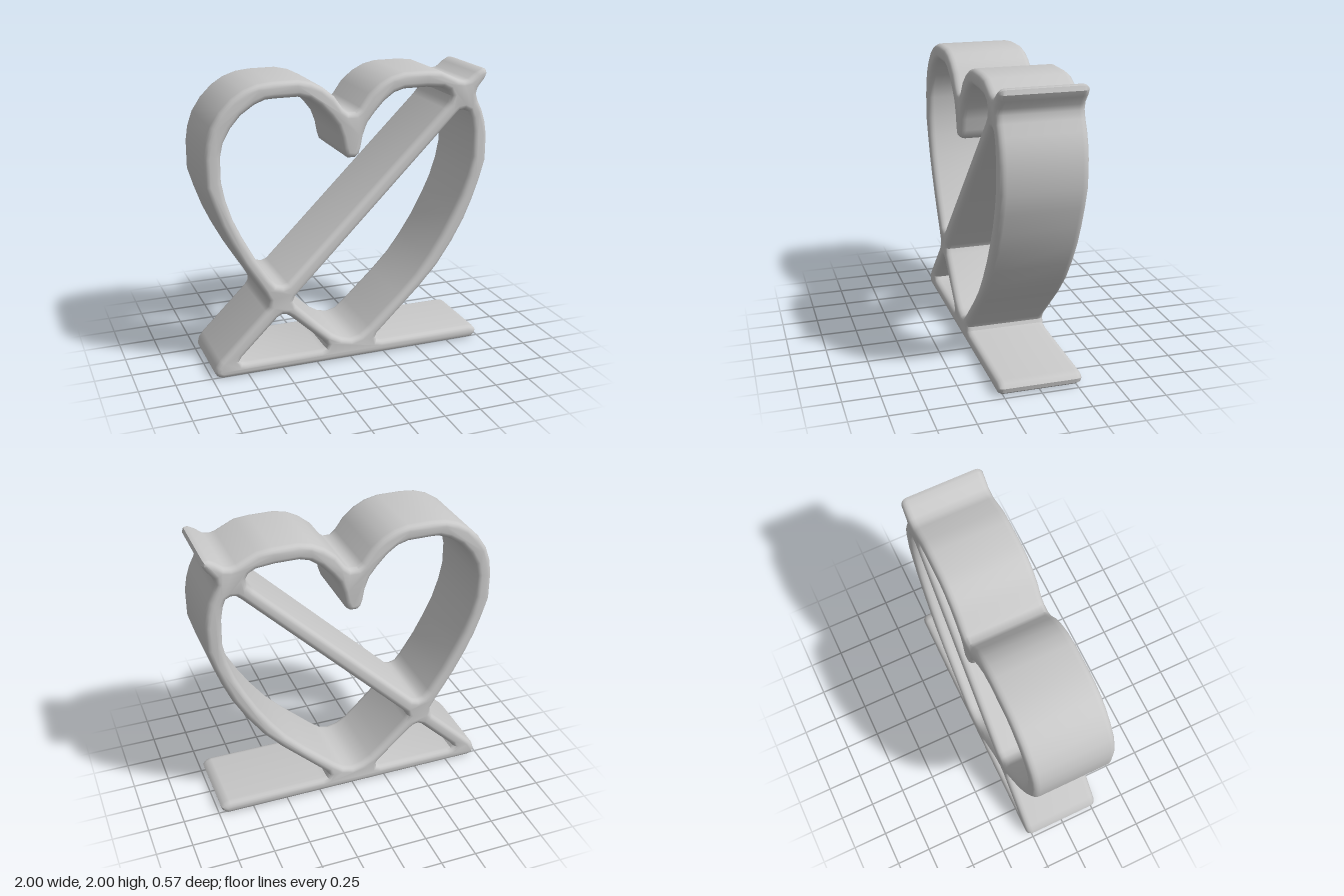
import * as THREE from 'three';
import { toCreasedNormals } from 'three/addons/utils/BufferGeometryUtils.js';

const DEPTH = 0.57, BEVEL = 0.035, ROUND = 0.045;

// Reflects a run of points across x = 0 and reverses it, so it continues the first run.
const mirror = (pts) => pts.map(([x, y]) => [-x, y]).reverse();
const toVectors = (pts) => pts.map(([x, y]) => new THREE.Vector2(x, y));

export function createModel() {
  const group = new THREE.Group();
  const grey = new THREE.MeshStandardMaterial({ color: 0xc8c8c8 });
  grey.name = 'plain grey';

  // Left lobe of the heart, outside and inside, running from the flank to the cleft
  const outerLobe = [[-1, 1.35], [-1, 1.54], [-0.985, 1.64], [-0.95, 1.74], [-0.89, 1.83], [-0.81, 1.91],
    [-0.73, 1.96], [-0.64, 1.99], [-0.54, 2], [-0.37, 2], [-0.28, 1.98], [-0.2, 1.94], [-0.12, 1.875],
    [-0.06, 1.79], [-0.025, 1.762]];
  const innerLobe = [[-0.89, 1.38], [-0.89, 1.54], [-0.87, 1.63], [-0.82, 1.72], [-0.75, 1.8], [-0.66, 1.86],
    [-0.59, 1.887], [-0.53, 1.89], [-0.37, 1.89], [-0.3, 1.87], [-0.23, 1.82], [-0.16, 1.745], [-0.11, 1.68],
    [-0.08, 1.6], [-0.065, 1.52], [-0.05, 1.475], [-0.025, 1.455]];

  const outline = [
    // pointed left end of the foot and the arrow tail
    [-0.93, 0], [-0.965, 0.015], [-0.982, 0.045], [-0.97, 0.09], [-0.94, 0.13],
    [-0.62, 0.445], [-0.6, 0.475], [-0.6, 0.52], [-0.63, 0.575],
    // left flank, both lobes
    [-0.7, 0.685], [-0.77, 0.8], [-0.85, 0.95], [-0.91, 1.08], [-0.96, 1.22],
    ...outerLobe, ...mirror(outerLobe).slice(0, 8),
    // arrow tip
    [0.77, 1.928], [0.81, 1.918], [0.85, 1.925], [0.9, 1.965], [0.945, 1.99], [0.975, 1.985],
    [0.985, 1.955], [0.965, 1.915], [0.92, 1.86], [0.91, 1.82], [0.925, 1.77],
    [0.96, 1.7], [0.985, 1.62], [1, 1.53], [1, 1.35],
    // right flank
    [0.96, 1.21], [0.91, 1.07], [0.85, 0.93], [0.76, 0.77], [0.65, 0.61], [0.52, 0.465],
    [0.2, 0.155], [0.185, 0.125], [0.195, 0.1], [0.23, 0.092],
    // free right end of the foot
    [0.92, 0.092], [0.96, 0.082], [0.982, 0.055], [0.975, 0.025], [0.94, 0],
  ].reverse(); // counter-clockwise, so the extrusion turns the opening walls the right way

  const upperOpening = [
    [-0.455, 0.625], [-0.495, 0.612], [-0.54, 0.625], [-0.58, 0.675], [-0.68, 0.83], [-0.76, 0.98],
    [-0.82, 1.11], [-0.865, 1.25],
    ...innerLobe, ...mirror(innerLobe).slice(0, 10),
    [0.65, 1.878], [0.695, 1.855], [0.715, 1.82], [0.705, 1.775], [0.67, 1.735],
  ];
  const lowerOpening = [
    [-0.405, 0.525], [0.76, 1.69], [0.785, 1.71], [0.82, 1.715], [0.85, 1.7], [0.87, 1.65], [0.885, 1.56],
    [0.89, 1.38], [0.865, 1.25], [0.82, 1.11], [0.76, 0.98], [0.68, 0.83], [0.59, 0.69], [0.49, 0.555],
    [0.36, 0.42], [0.22, 0.29], [0.14, 0.215], [0.07, 0.158], [0, 0.14], [-0.07, 0.158], [-0.14, 0.2],
    [-0.23, 0.285], [-0.4, 0.455], [-0.42, 0.49],
  ];
  const tailOpening = [
    [-0.5, 0.402], [-0.535, 0.385], [-0.79, 0.135], [-0.805, 0.112], [-0.79, 0.094], [-0.76, 0.09],
    [-0.22, 0.09], [-0.19, 0.1], [-0.185, 0.125], [-0.2, 0.15], [-0.44, 0.375], [-0.47, 0.395],
  ];

  // One fused band: heart, diagonal arrow and flat foot
  const shape = new THREE.Shape(toVectors(outline));
  for (const opening of [upperOpening, lowerOpening, tailOpening]) {
    shape.holes.push(new THREE.Path(toVectors(opening)));
  }
  const geometry = new THREE.ExtrudeGeometry(shape, {
    depth: DEPTH - 2 * ROUND, bevelEnabled: true, bevelSize: BEVEL, bevelOffset: -BEVEL,
    bevelThickness: ROUND, bevelSegments: 4,
  });
  geometry.translate(0, 0, ROUND - DEPTH / 2);

  const frame = new THREE.Mesh(toCreasedNormals(geometry, 0.7), grey);
  frame.name = 'heartArrowFrame';
  group.add(frame);
  return group;
}
